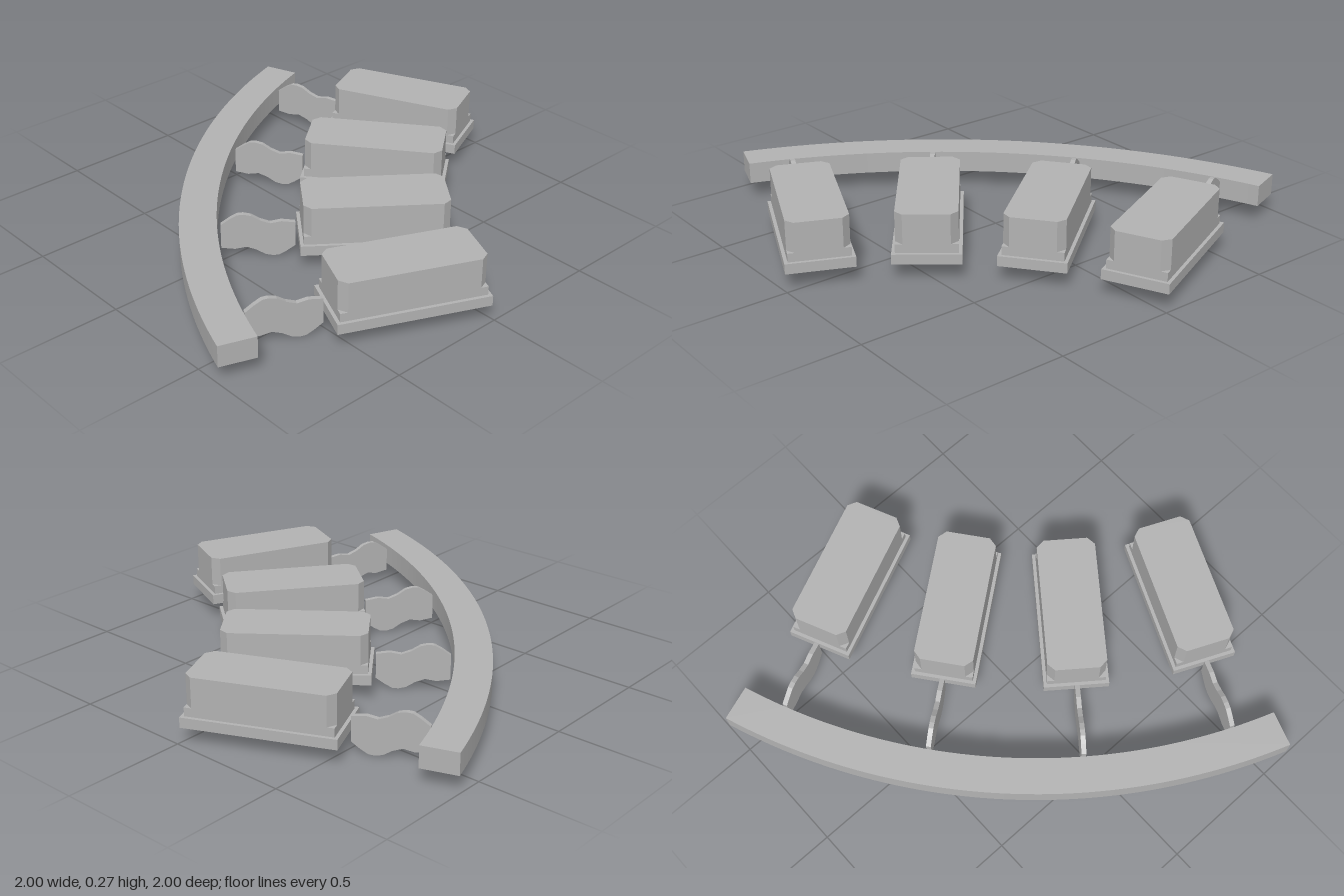
import * as THREE from 'three';

const grey = new THREE.MeshStandardMaterial({ color: 0xb2b2b2 });
grey.name = 'plain grey';

function add(parent, name, geometry, x = 0, y = 0, z = 0) {
  const mesh = new THREE.Mesh(geometry, grey);
  mesh.name = name;
  mesh.position.set(x, y, z);
  parent.add(mesh);
  return mesh;
}

// Extrude an x/z outline downwards from y = 0
function slab(shape, height, curveSegments = 24) {
  return new THREE.ExtrudeGeometry(shape, { depth: height, bevelEnabled: false, curveSegments })
    .rotateX(Math.PI / 2);
}

// Rectangle with cut corners
function cutRectangle(length, width, cut) {
  const a = length / 2, b = width / 2;
  return new THREE.Shape([
    [-a + cut, -b], [a - cut, -b], [a, -b + cut], [a, b - cut],
    [a - cut, b], [-a + cut, b], [-a, b - cut], [-a, -b + cut],
  ].map(([x, y]) => new THREE.Vector2(x, y)));
}

// Wavy connecting plate; the lower edge is the upper edge turned half round
function wavyPlate() {
  const length = 0.295, top = 0.192, thick = 0.02;
  const upper = [
    [0, 0.148], [0.035, 0.173], [0.065, 0.19], [0.09, 0.192], [0.12, 0.185],
    [0.155, 0.163], [0.195, 0.148], [0.24, 0.156], [0.295, 0.148],
  ];
  const lower = upper.map(([x, y]) => [length - x, top - y]);
  const shape = new THREE.Shape([...upper, ...lower].map(([x, y]) => new THREE.Vector2(x, y)));
  return new THREE.ExtrudeGeometry(shape, { depth: thick, bevelEnabled: false })
    .translate(0, 0, -thick / 2);
}

export function createModel() {
  const model = new THREE.Group();
  model.name = 'curvedRowOfBlocks';

  // Curved rail
  const centre = 1.49, outer = 2.64, inner = 2.491;
  const half = THREE.MathUtils.degToRad(25.6);
  const mid = Math.PI * 0.75;
  const arc = new THREE.Shape();
  arc.absarc(centre, -centre, outer, mid - half, mid + half, false);
  arc.absarc(centre, -centre, inner, mid + half, mid - half, true);
  arc.closePath();
  add(model, 'curvedRail', slab(arc, 0.09), 0, 0.16, 0);

  // Four blocks, each joined to the rail by a wavy plate
  const base = new THREE.BoxGeometry(0.603, 0.042, 0.271);
  const step = new THREE.BoxGeometry(0.575, 0.036, 0.243);
  const body = slab(cutRectangle(0.575, 0.243, 0.03), 0.124);
  const plate = wavyPlate();
  const places = [
    [-0.232, -0.75, 24.2], [0.011, -0.347, 37.8],
    [0.347, -0.011, 52.2], [0.75, 0.232, 65.8],
  ];
  places.forEach(([x, z, angle], i) => {
    const unit = new THREE.Group();
    unit.name = `blockUnit${i + 1}`;
    unit.position.set(x, 0, z);
    unit.rotation.y = THREE.MathUtils.degToRad(angle);
    add(unit, 'base', base, 0, 0.091, 0);
    add(unit, 'step', step, 0, 0.13, 0);
    add(unit, 'body', body, 0, 0.272, 0);
    add(unit, 'wavyPlate', plate, -0.608, 0, 0);
    model.add(unit);
  });

  return model;
}
